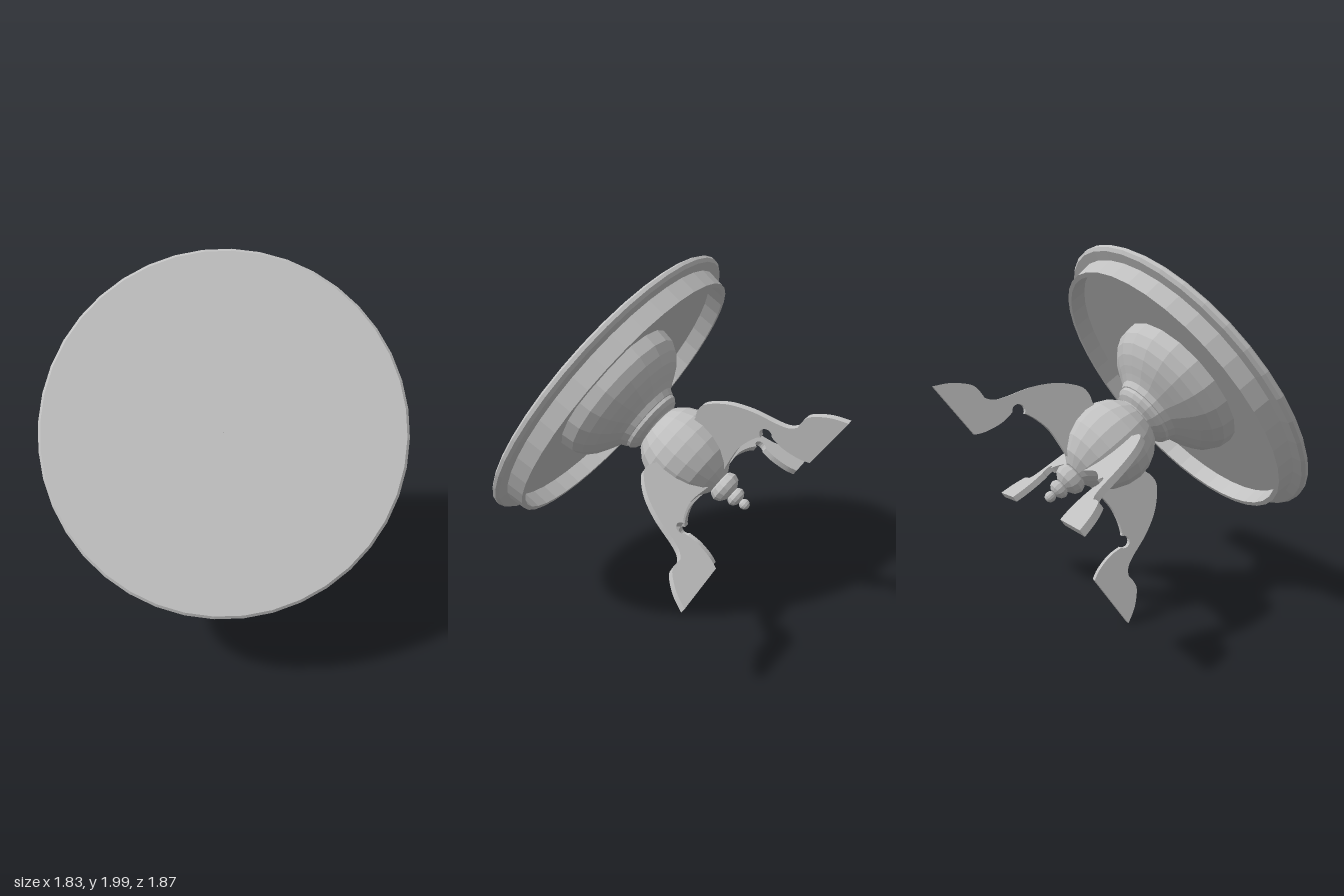
import * as THREE from 'three';

const grey = new THREE.MeshStandardMaterial({ color: 0xc0c0c0, flatShading: true });
grey.name = 'grey';

// Turned part from [radius, height] pairs, listed from the bottom up
function turned(name, profile, segments) {
  const points = profile.map(([r, y]) => new THREE.Vector2(r, y));
  const mesh = new THREE.Mesh(new THREE.LatheGeometry(points, segments), grey);
  mesh.name = name;
  return mesh;
}

// Rounded bead profile centred on the axis
function bead(radius, half, y, steps = 6) {
  return Array.from({ length: steps + 1 }, (_, i) => {
    const a = -Math.PI / 2 + (Math.PI * i) / steps;
    return [Math.max(0, radius * Math.cos(a)), y + half * Math.sin(a)];
  });
}

const vectors = (list) => list.map(([x, y]) => new THREE.Vector2(x, y));

// Scrolled leg outline with a round bite on the inner edge
function legGeometry() {
  const s = new THREE.Shape();
  s.moveTo(0.1, -0.5);
  s.lineTo(0.24, -0.5);
  s.splineThru(vectors([[0.29, -0.487], [0.35, -0.503], [0.439, -0.59], [0.504, -0.708],
    [0.548, -0.843], [0.575, -0.9], [0.61, -0.929]]));
  s.splineThru(vectors([[0.66, -0.928], [0.705, -0.943], [0.769, -1.011], [0.812, -1.092]]));
  s.lineTo(0.5, -1.085);
  s.splineThru(vectors([[0.475, -1.03], [0.459, -0.94], [0.466, -0.866]]));
  s.absarc(0.452, -0.835, 0.034, -1.1, 2.75 - Math.PI * 2 + Math.PI * 2, false);
  s.lineTo(0.41, -0.812);
  s.splineThru(vectors([[0.349, -0.788], [0.256, -0.772], [0.1, -0.785]]));
  s.closePath();
  const g = new THREE.ExtrudeGeometry(s, { depth: 0.036, bevelEnabled: false, curveSegments: 5 });
  return g.translate(0, 0, -0.018);
}

export function createModel() {
  const model = new THREE.Group();
  model.name = 'tiltedPedestalTable';

  // Upright table, with the centre of its top at the origin
  const table = new THREE.Group();
  table.name = 'table';

  // Top with a bevelled rim and a hollow apron below
  table.add(turned('tableTop', [[0, -0.04], [0.775, -0.04], [0.775, -0.14], [0.8, -0.14],
    [0.81, -0.05], [0.86, -0.045], [0.874, -0.03], [0.874, -0.012], [0.86, 0], [0, 0]], 40));
  table.add(turned('centrePlug', [[0.015, -0.005], [0.015, 0.001], [0, 0.001]], 12));

  // Bell-shaped support and collar
  table.add(turned('bell', [[0.15, -0.31], [0.19, -0.3], [0.205, -0.27], [0.24, -0.25], [0.28, -0.23],
    [0.33, -0.2], [0.375, -0.16], [0.405, -0.11], [0.415, -0.04]], 20));
  table.add(turned('collar', [[0.12, -0.375], [0.135, -0.355], [0.165, -0.34], [0.183, -0.32],
    [0.183, -0.3], [0.165, -0.28]], 20));

  // Round urn
  table.add(turned('urn', [[0, -0.815], [0.075, -0.805], [0.14, -0.765], [0.195, -0.7], [0.225, -0.63],
    [0.236, -0.555], [0.226, -0.485], [0.195, -0.42], [0.15, -0.37], [0.11, -0.35]], 18));

  // Stacked finial
  [[0.09, 0.06, -0.845], [0.055, 0.038, -0.925], [0.03, 0.03, -0.985]].forEach(([r, h, y], i) =>
    table.add(turned('finialBead' + (i + 1), bead(r, h, y), 14)));

  // Four legs around the urn
  const geometry = legGeometry();
  for (let i = 0; i < 4; i++) {
    const leg = new THREE.Mesh(geometry, grey);
    leg.name = 'leg' + (i + 1);
    leg.rotation.y = (i * Math.PI) / 2;
    table.add(leg);
  }

  // Tip the table forward
  const up = new THREE.Vector3(0.155, 0.578, 0.801).normalize();
  const out = new THREE.Vector3(0.985, -0.155, -0.08);
  const side = new THREE.Vector3().crossVectors(out, up).normalize();
  out.crossVectors(up, side);
  table.quaternion.setFromRotationMatrix(new THREE.Matrix4().makeBasis(out, up, side));
  table.position.set(0.05, 1.287, 0.42);
  model.add(table);
  return model;
}
